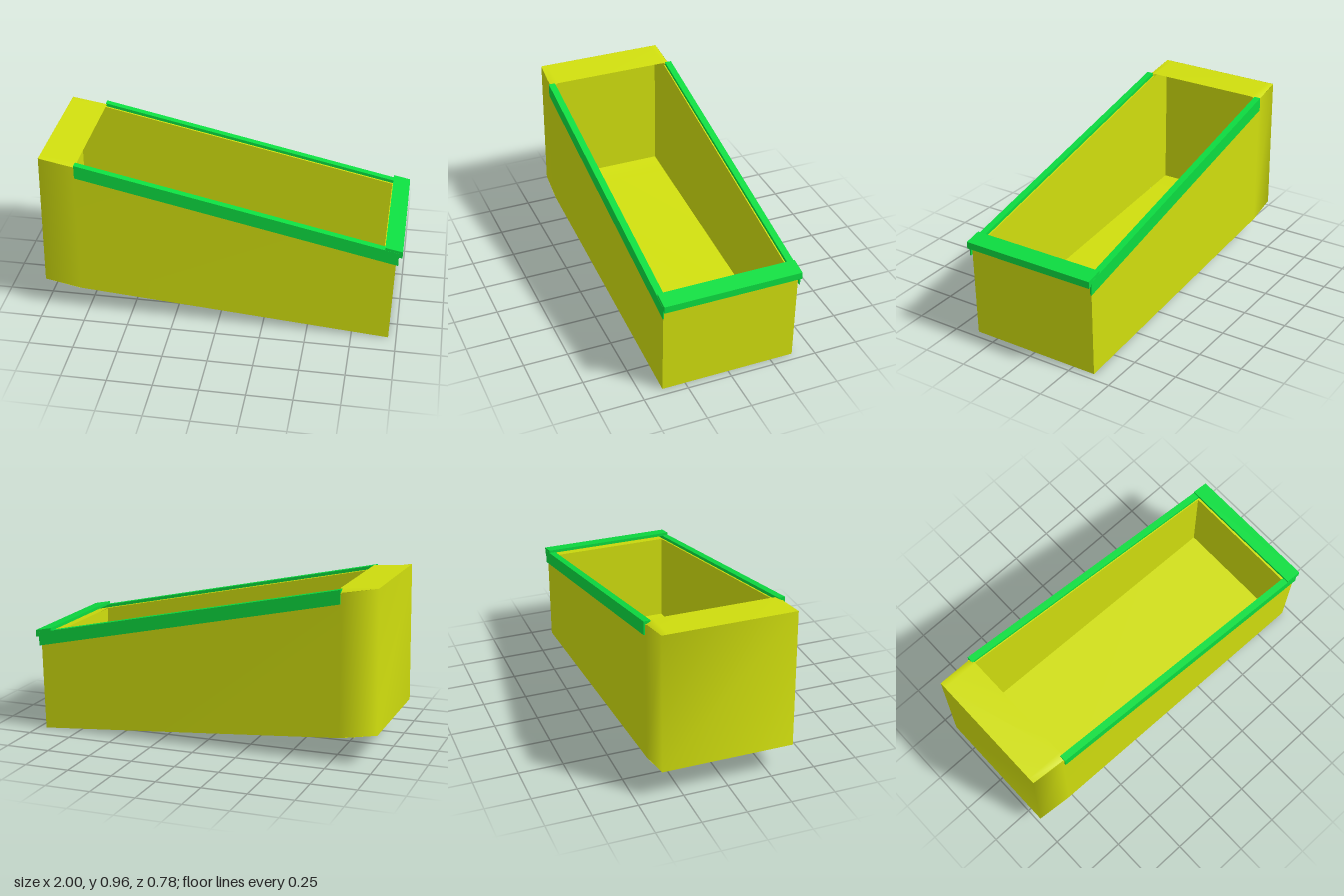
import * as THREE from 'three';

const yellow = new THREE.MeshStandardMaterial({ color: 0xd0de0e, side: THREE.DoubleSide });
const green = new THREE.MeshStandardMaterial({ color: 0x0cdc40 });

// Smooth-shaded band of quads between two rows of points
function strip(lower, upper) {
  const n = lower.length, index = [];
  for (let i = 0; i < n - 1; i++) index.push(i, i + 1, n + i + 1, i, n + i + 1, n + i);
  const g = new THREE.BufferGeometry();
  g.setAttribute('position', new THREE.Float32BufferAttribute([...lower, ...upper].flat(), 3));
  g.setIndex(index);
  g.computeVertexNormals();
  return g;
}

// Side outline in x-y, extruded from z0 to z1
function slab(points, z0, z1) {
  const shape = new THREE.Shape(points.map(p => new THREE.Vector2(...p)));
  return new THREE.ExtrudeGeometry(shape, { depth: z1 - z0, bevelEnabled: false }).translate(0, 0, z0);
}

// Sloping wall top, and underside broken near the rear
const topY = x => x < -0.79 ? 0.92 - (x + 0.79) * 0.18 : 0.92 - (x + 0.79) * 0.213;
const floorY = x => x < -0.8 ? 0.137 - (x + 0.8) * 0.165 : 0.137 - (x + 0.8) * 0.0781;

export function createModel() {
  const model = new THREE.Group();
  const add = (name, geometry, material) => {
    const mesh = new THREE.Mesh(geometry, material);
    mesh.name = name;
    model.add(mesh);
  };

  // Outer walls wrap round the rear with softened corners
  const bottom = ([x, z]) => [x, floorY(x), z];
  const top = ([x, z]) => [x + (x < -0.9 ? 0.013 : x > 0.9 ? 0.013 : 0), topY(x), z];
  const plan = [[0.956, -0.38], [-0.79, -0.378], [-0.998, -0.368],
    [-0.998, 0.368], [-0.79, 0.378], [0.956, 0.38]];
  add('outerWalls', strip(plan.map(bottom), plan.map(top)), yellow);
  const end = [[0.956, 0.38], [0.956, -0.38]];
  add('endWall', strip(end.map(bottom), end.map(top)), yellow);
  const xs = [-0.998, -0.8, 0.956], half = [0.368, 0.378, 0.38];
  add('underside', strip(xs.map((x, i) => [x, floorY(x), -half[i]]),
    xs.map((x, i) => [x, floorY(x), half[i]])), yellow);

  // Inner cavity: four flat walls and a floor
  const inner = [[0.9, 0.345], [-0.94, 0.345], [-0.94, -0.345], [0.9, -0.345], [0.9, 0.345]];
  const low = ([x, z]) => [x, floorY(x) + 0.025, z];
  for (let i = 0; i < 4; i++) {
    const side = [inner[i], inner[i + 1]];
    add('innerWall', strip(side.map(low), side.map(([x, z]) => [x, topY(x) - 0.002, z])), yellow);
  }
  const fx = [-0.94, -0.8, 0.9];
  add('innerFloor', strip(fx.map(x => low([x, 0.345])), fx.map(x => low([x, -0.345]))), yellow);

  // Top edge of the walls, sharp at each corner
  const outerEdge = [[-0.79, 0.38], [0.969, 0.38], [0.969, -0.38], [-0.79, -0.38]];
  const innerEdge = [[-0.79, 0.345], [0.9, 0.345], [0.9, -0.345], [-0.79, -0.345]];
  const onTop = ([x, z]) => [x, topY(x), z];
  add('wallTop', strip(outerEdge.map(onTop), innerEdge.map(onTop)), yellow);

  // Thin cap over the rear, dropping at its two sides
  const zs = [-0.375, -0.335, 0.335, 0.375];
  add('rearCap', strip(
    zs.map((z, i) => [-0.985, 0.957, THREE.MathUtils.clamp(z, -0.368, 0.368)]),
    zs.map((z, i) => [-0.775, i % 3 ? 0.942 : 0.92, z])), yellow);

  // L-section rails along both sides
  const rail = (x0, x1, up, down) => {
    const y = x => 0.94 - (x + 0.785) * 0.213;
    return [[x0, y(x0) - down], [x1, y(x1) - down], [x1, y(x1) - up], [x0, y(x0) - up]];
  };
  for (const s of [1, -1]) {
    const span = (a, b) => s > 0 ? [a, b] : [-b, -a];
    add('railSkirt', slab(rail(-0.785, 0.98, 0, 0.077), ...span(0.381, 0.388)), green);
    add('railFlange', slab(rail(-0.785, 0.98, 0, 0.018), ...span(0.35, 0.381)), green);
  }

  // Lipped rail across the low end
  add('endRail', slab([[0.905, 0.595], [0.905, 0.577], [0.98, 0.562], [0.98, 0.54],
    [1, 0.537], [1, 0.576]], -0.387, 0.387), green);

  return model;
}
